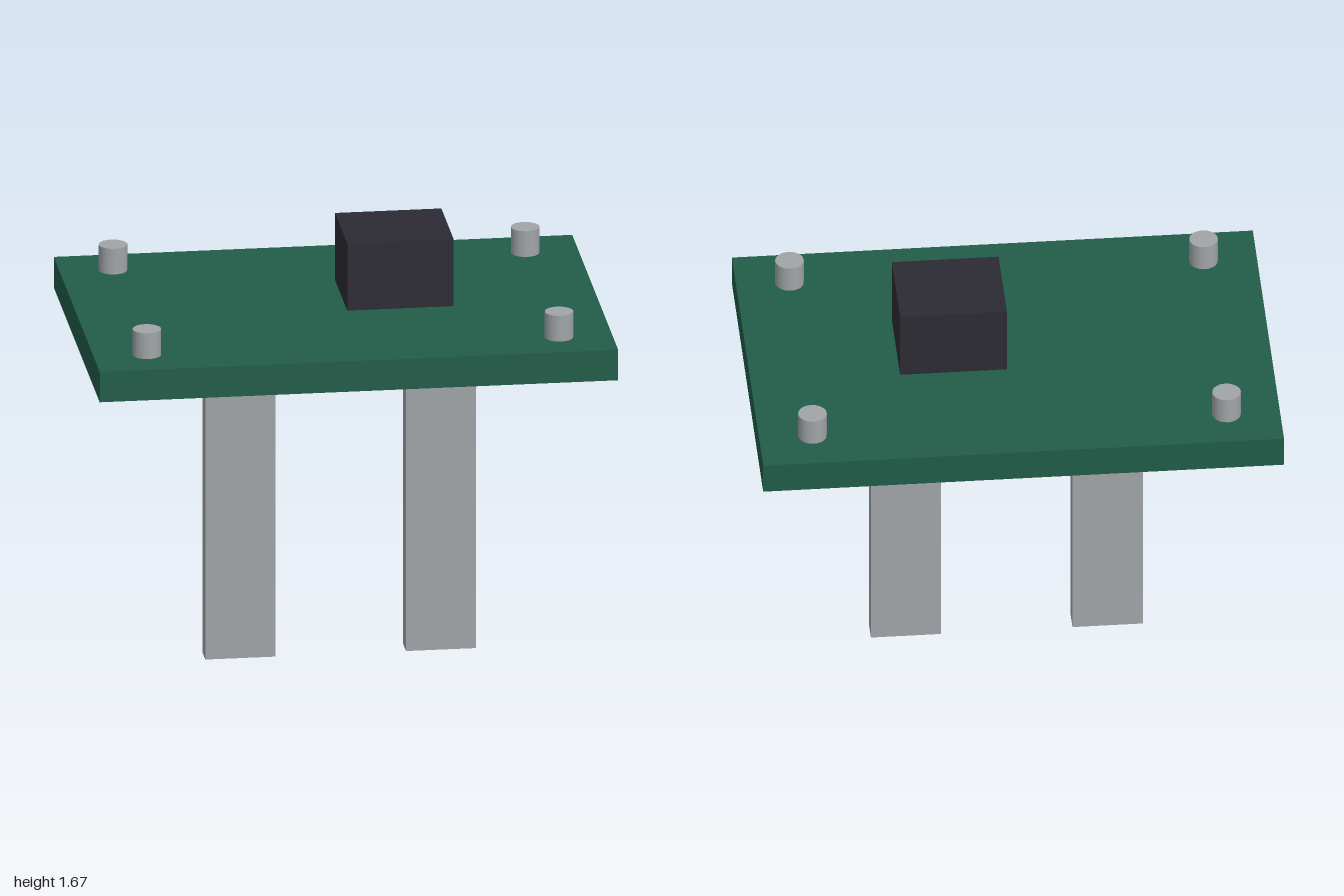
import * as THREE from 'three';

export function createModel() {
  const model = new THREE.Group();
  const mat = (name, color) => {
    const m = new THREE.MeshStandardMaterial({ color });
    m.name = name;
    return m;
  };
  const green = mat('board green', 0x215c49);
  const dark = mat('chip black', 0x2c2b34);
  const metal = mat('metal grey', 0xa1a5a8);

  const add = (name, geometry, material, x, y, z) => {
    const mesh = new THREE.Mesh(geometry, material);
    mesh.name = name;
    mesh.position.set(x, y, z);
    model.add(mesh);
  };

  // Circuit board, with the chip hovering just above it
  add('board', new THREE.BoxGeometry(2, 0.123, 1.36), green, 0, 1.309, 0);
  add('chip', new THREE.BoxGeometry(0.41, 0.272, 0.36), dark, 0.225, 1.538, 0);

  // Two flat prongs below, and a round post near each corner
  const prong = new THREE.BoxGeometry(0.27, 1.248, 0.09);
  const post = new THREE.CylinderGeometry(0.055, 0.055, 0.105, 20);
  for (const side of [-1, 1]) {
    add(side > 0 ? 'leftProng' : 'rightProng', prong, metal, side * 0.387, 0.624, 0.094);
    for (const end of [-1, 1]) {
      add((end > 0 ? 'front' : 'back') + (side > 0 ? 'Left' : 'Right') + 'Post',
        post, metal, side * 0.795, 1.422, end * 0.5);
    }
  }
  return model;
}
